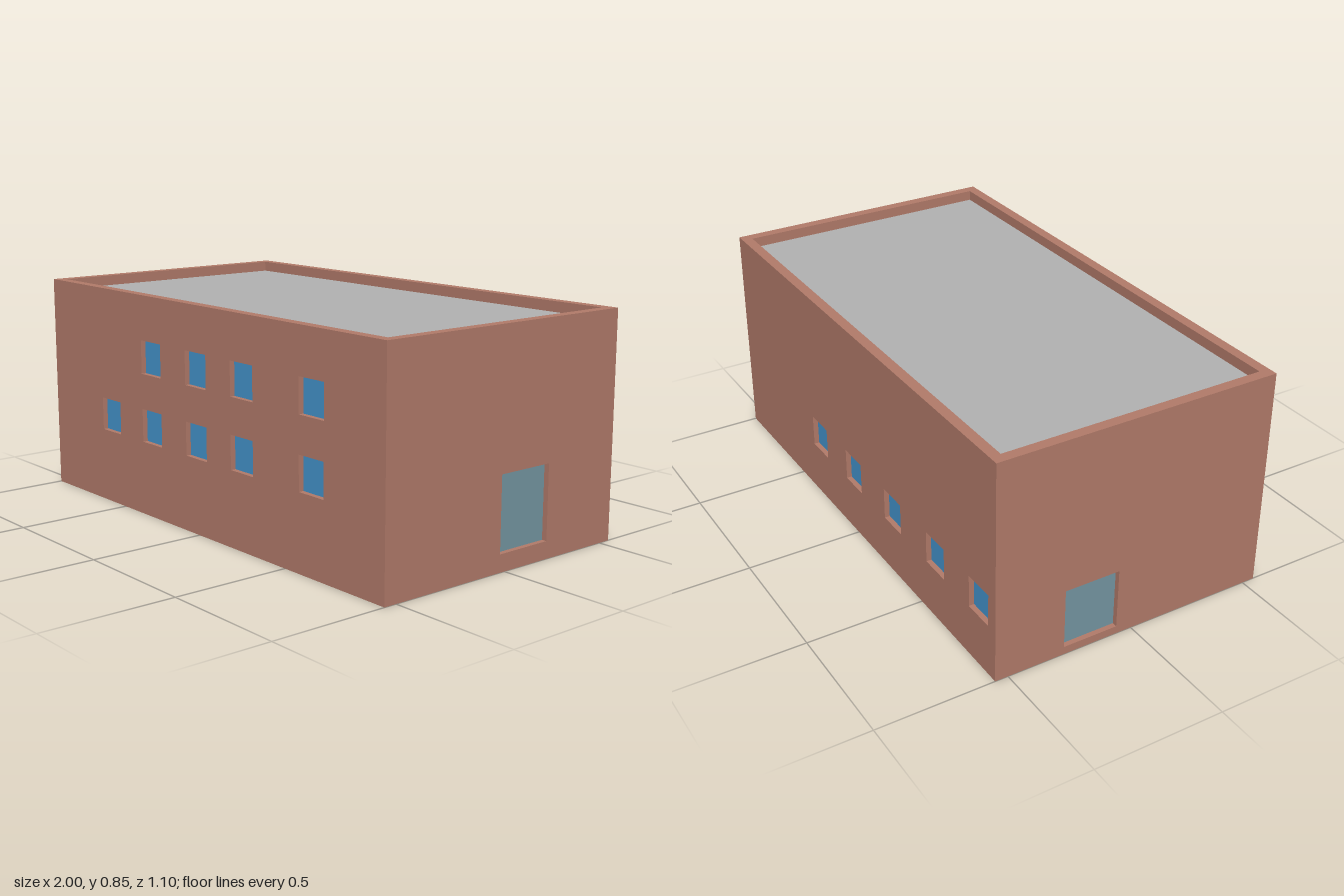
import * as THREE from 'three';

const W = 2, H = 0.85, D = 1.1;      // outer size of the building
const T = 0.04;                      // wall thickness
const RECESS = 0.02;                 // depth of windows and doors behind the wall face
const ROOF_Y = 0.81;

const material = (name, color) => {
  const m = new THREE.MeshStandardMaterial({ color });
  m.name = name;
  return m;
};

function boxMesh(name, w, h, d, mat, x, y, z) {
  const mesh = new THREE.Mesh(new THREE.BoxGeometry(w, h, d), mat);
  mesh.name = name;
  mesh.position.set(x, y, z);
  return mesh;
}

// Wall facing +z with its outer face at z = 0; openings are { x, y, w, h } around their centres
function wallGeometry(width, openings) {
  const rect = (path, x0, y0, x1, y1) =>
    path.moveTo(x0, y0).lineTo(x1, y0).lineTo(x1, y1).lineTo(x0, y1).closePath();
  const shape = new THREE.Shape();
  rect(shape, -width / 2, 0, width / 2, H);
  for (const { x, y, w, h } of openings) {
    const hole = new THREE.Path();
    rect(hole, x - w / 2, y - h / 2, x + w / 2, y + h / 2);
    shape.holes.push(hole);
  }
  const geo = new THREE.ExtrudeGeometry(shape, { depth: T, bevelEnabled: false });
  geo.translate(0, 0, -T);
  // Mitre the ends so that the four walls meet cleanly at the corners
  const p = geo.attributes.position;
  for (let i = 0; i < p.count; i++) {
    const x = p.getX(i);
    if (p.getZ(i) < -T / 2 && Math.abs(x) > width / 2 - 1e-4) p.setX(i, x - Math.sign(x) * T);
  }
  geo.computeVertexNormals();
  return geo;
}

export function createModel() {
  const brick = material('brick', 0xb27b6a);
  const windowGlass = material('windowGlass', 0x4493cc);
  const doorGlass = material('doorGlass', 0x7596a2);
  const roofGrey = material('roofGrey', 0xb2b2b2);

  const building = new THREE.Group();
  building.name = 'building';

  // Wall with its recessed panes, turned to face outwards
  function addWall(name, width, distance, angle, openings, paneName, paneMat) {
    const side = new THREE.Group();
    side.name = name;
    const wall = new THREE.Mesh(wallGeometry(width, openings), brick);
    wall.name = name + 'Wall';
    side.add(wall);
    for (const { x, y, w, h } of openings)
      side.add(boxMesh(paneName, w, h, 0.008, paneMat, x, y, -RECESS - 0.004));
    side.rotation.y = angle;
    side.position.set(Math.sin(angle) * distance, 0, Math.cos(angle) * distance);
    building.add(side);
  }

  const windowRow = (xs, y, size) => xs.map((x) => ({ x, y, w: size, h: size }));

  // Front: two rows of windows, the upper one lacking the first
  const columns = [-0.583, -0.298, -0.011, 0.262, 0.64];
  addWall('front', W, D / 2, 0,
    [...windowRow(columns, 0.35, 0.128), ...windowRow(columns.slice(1), 0.614, 0.128)],
    'window', windowGlass);

  // Back: one low row
  addWall('back', W, D / 2, Math.PI,
    windowRow([-0.31, -0.02, 0.29, 0.602, 0.893], 0.262, 0.124), 'window', windowGlass);

  // Ends: one glazed door each
  addWall('leftEnd', D, W / 2, Math.PI / 2,
    [{ x: 0.094, y: 0.204, w: 0.234, h: 0.278 }], 'door', doorGlass);
  addWall('rightEnd', D, W / 2, -Math.PI / 2,
    [{ x: -0.17, y: 0.147, w: 0.216, h: 0.234 }], 'door', doorGlass);

  // Sunken flat roof and underside
  building.add(boxMesh('roof', W - 2 * T, 0.03, D - 2 * T, roofGrey, 0, ROOF_Y - 0.015, 0));
  building.add(boxMesh('floor', W - 2 * T, 0.02, D - 2 * T, brick, 0, 0.01, 0));

  return building;
}
